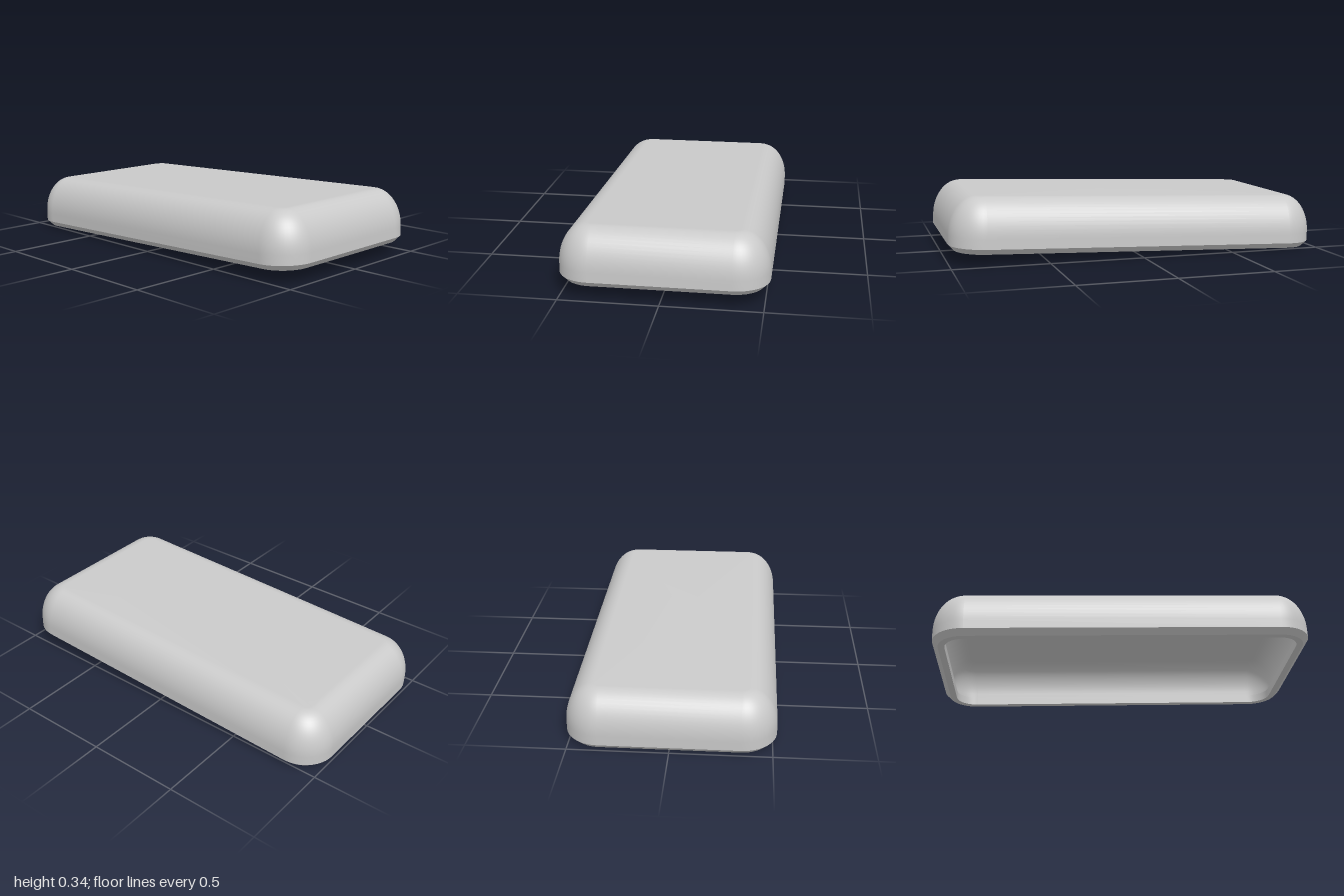
import * as THREE from 'three';

const HALF_W = 0.522, HALF_L = 1.0, CORNER = 0.175, STEPS = 12;
const TILT = 0.035;

// Rounded rectangle, pulled in by inset, at height y
function ring(inset, y) {
  const r = Math.max(CORNER - inset, 0.025);
  const cx = HALF_W - inset - r, cz = HALF_L - inset - r;
  const pts = [];
  [[1, 1], [-1, 1], [-1, -1], [1, -1]].forEach(([sx, sz], q) => {
    for (let i = 0; i <= STEPS; i++) {
      const a = (q + i / STEPS) * Math.PI / 2;
      pts.push(sx * cx + r * Math.cos(a), y, sz * cz + r * Math.sin(a));
    }
  });
  return pts;
}

// Skin a profile of [inset, y] points, optionally closing its first or last ring
function loft(profile, capStart = false, capEnd = false) {
  const n = 4 * (STEPS + 1), pos = [], idx = [];
  for (const [inset, y] of profile) pos.push(...ring(inset, y));
  const last = profile.length - 1;
  for (let k = 0; k < last; k++) {
    for (let i = 0; i < n; i++) {
      const j = (i + 1) % n, a = k * n + i, b = a + n, c = (k + 1) * n + j, d = k * n + j;
      idx.push(a, b, c, a, c, d);
    }
  }
  const cap = (k, flip) => {
    const centre = pos.length / 3;
    pos.push(0, profile[k][1], 0);
    for (let i = 0; i < n; i++) {
      const a = k * n + i, b = k * n + (i + 1) % n;
      idx.push(centre, flip ? b : a, flip ? a : b);
    }
  };
  if (capStart) cap(0, false);
  if (capEnd) cap(last, true);
  const geo = new THREE.BufferGeometry();
  geo.setAttribute('position', new THREE.Float32BufferAttribute(pos, 3));
  geo.setIndex(idx);
  geo.computeVertexNormals();
  return geo;
}

// Quarter ellipse from an upright wall to a level top
function dome(inset0, y0, inset1, y1, steps = 14) {
  return Array.from({ length: steps + 1 }, (_, i) => {
    const a = i / steps * Math.PI / 2;
    return [inset0 + (inset1 - inset0) * (1 - Math.cos(a)), y0 + (y1 - y0) * Math.sin(a)];
  });
}

export function createModel() {
  const grey = new THREE.MeshStandardMaterial({ color: 0xcacaca });
  grey.name = 'grey';
  const model = new THREE.Group();
  model.name = 'cover';
  const shell = new THREE.Group();
  shell.name = 'tiltedShell';
  const add = (name, geo) => {
    const mesh = new THREE.Mesh(geo, grey);
    mesh.name = name;
    shell.add(mesh);
  };

  // Outer skin: short upright wall, rounded shoulder, flat top
  add('outerShell', loft([[0, 0.03], ...dome(0, 0.08, 0.145, 0.28)], false, true));
  // Bevelled lower edge and flat rim
  add('chamfer', loft([[0.03, 0], [0, 0.03]]));
  add('rim', loft([[0.065, 0], [0.03, 0]]));
  // Inner lip with a ledge on top, standing proud of the cavity wall
  add('innerLip', loft([[0.065, 0.045], [0.065, 0]]));
  add('lipLedge', loft([[0.035, 0.045], [0.065, 0.045]]));
  // Thin-walled cavity following the outer skin
  add('cavity', loft([...dome(0.035, 0.08, 0.145, 0.245).reverse(), [0.035, 0.045]], true, false));

  // The front end is raised
  shell.rotation.x = -TILT;
  shell.position.y = 0.034;
  model.add(shell);
  return model;
}
